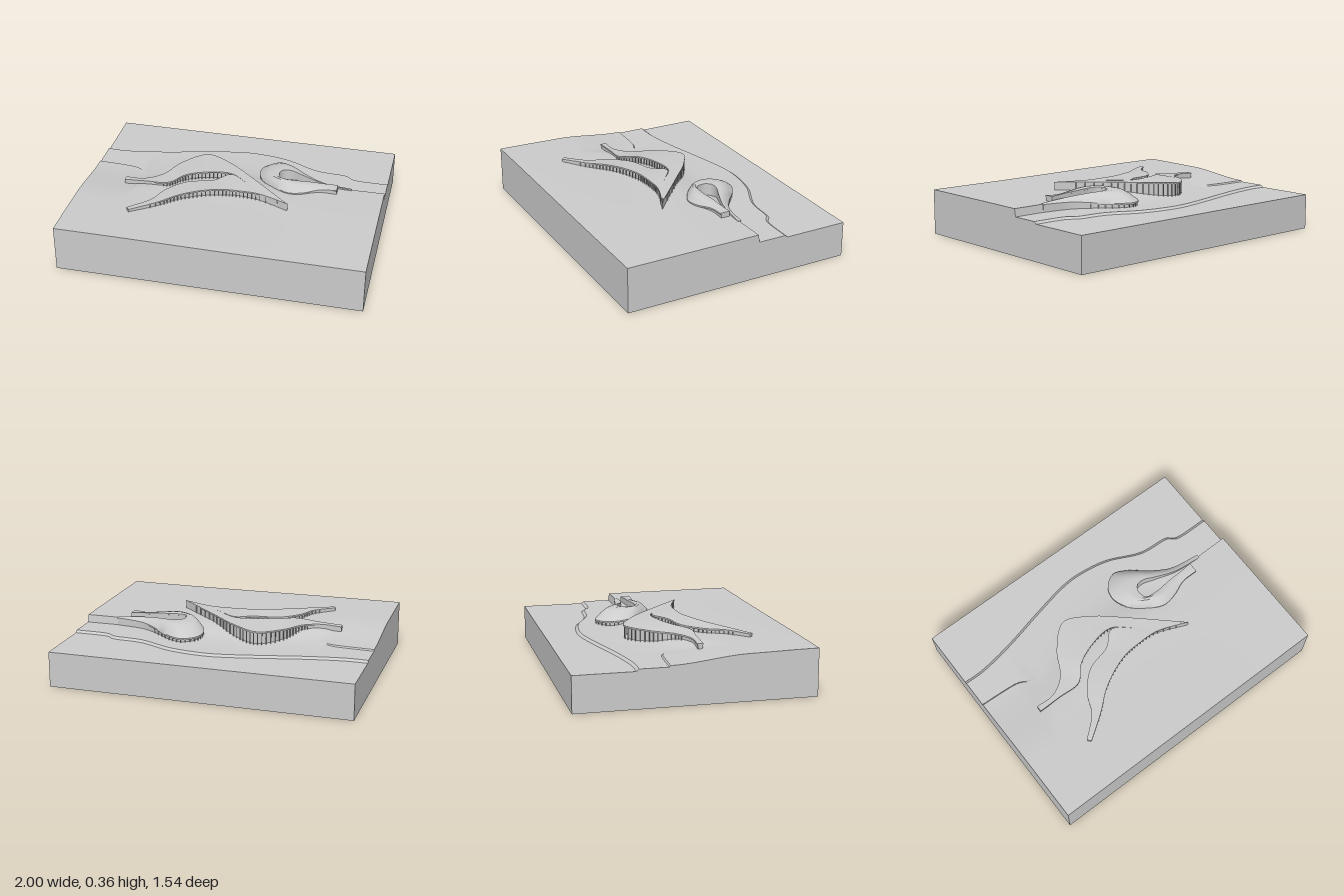
import * as THREE from 'three';
import { toCreasedNormals } from 'three/addons/utils/BufferGeometryUtils.js';

const grey = new THREE.MeshStandardMaterial({ color: 0xcccccc, side: THREE.DoubleSide });
const lerp = THREE.MathUtils.lerp;
const smooth = (t) => THREE.MathUtils.smoothstep(t, 0, 1);

// Skin closed cross-sections (arrays of Vector3) and cap both ends
function loft(sections, crease = 0.5) {
  const n = sections[0].length, pos = [], idx = [];
  sections.forEach((s) => s.forEach((p) => pos.push(p.x, p.y, p.z)));
  for (let i = 0; i < sections.length - 1; i++) {
    for (let j = 0; j < n; j++) {
      const a = i * n + j, b = i * n + (j + 1) % n;
      idx.push(a, a + n, b, b, a + n, b + n);
    }
  }
  [0, sections.length - 1].forEach((s) => {
    const ring = sections[s].map((p) => new THREE.Vector2(p.z, p.y));
    const turn = THREE.ShapeUtils.area(ring);
    THREE.ShapeUtils.triangulateShape(ring.slice(), []).forEach((t) => {
      const same = THREE.ShapeUtils.area(t.map((k) => ring[k])) * turn > 0;
      const o = same === (s === 0) ? t : [t[0], t[2], t[1]];
      idx.push(...o.map((k) => s * n + k));
    });
  });
  const g = new THREE.BufferGeometry();
  g.setAttribute('position', new THREE.Float32BufferAttribute(pos, 3));
  g.setIndex(idx);
  return toCreasedNormals(g, crease);
}

function mesh(name, geometry) {
  const m = new THREE.Mesh(geometry, grey);
  m.name = name;
  return m;
}

const curve = (pts) => new THREE.CatmullRomCurve3(pts.map((p) => new THREE.Vector3(...p)), false, 'centripetal');

// z of a plan line at x, through [x, z] knots with eased spans
function lineAt(knots) {
  const c = new THREE.SplineCurve(knots.map((k) => new THREE.Vector2(...k)));
  const pts = c.getPoints(300);
  return (x) => {
    const i = Math.max(1, pts.findIndex((p) => p.x >= x - 1e-6));
    const a = pts[i - 1], b = pts[i];
    return lerp(a.y, b.y, THREE.MathUtils.clamp((x - a.x) / (b.x - a.x || 1), 0, 1));
  };
}

const roadBack = lineAt([[-1, -0.38], [-0.85, -0.38], [-0.61, -0.42], [-0.32, -0.49], [-0.08, -0.54],
  [0.08, -0.545], [0.28, -0.51], [0.5, -0.415], [0.7, -0.395], [0.78, -0.35], [1, -0.345]]);
const roadFront = lineAt([[-1, -0.17], [-0.75, -0.155], [-0.63, -0.12], [-0.45, -0.2], [-0.2, -0.3],
  [0.1, -0.3], [0.3, -0.26], [0.5, -0.17], [0.65, -0.13], [1, -0.13]]);

// Height of the ground in front of the road
function groundY(x, z) {
  const right = smooth((x - 0.2) / 0.35), left = smooth((-0.6 - x) / 0.15);
  const edge = lerp(0.25 + 0.008 * left, 0.3, right);
  const t = smooth((z - roadFront(x)) / lerp(0.3, 0.5, left));
  const rise = 0.008 * smooth((z - 0.25) / 0.5) * smooth((0.6 - x) / 1.4);
  return lerp(edge, 0.301, t) + rise;
}

// Ground block: front slope, road shelf, kerb step and lower back field
function ground() {
  const sections = [], rows = 26;
  for (let i = 0; i <= 100; i++) {
    const x = -1 + i * 0.02, zf = roadFront(x), zb = roadBack(x);
    const s = [[0, -0.77], [0, 0.77]];
    for (let j = 0; j <= rows; j++) {
      const z = lerp(0.77, zf, j / rows);
      s.push([groundY(x, z), z]);
    }
    s.push([0.249, zf - 0.008], [0.249, zb + 0.018], [0.235, zb], [0.235, -0.77]);
    sections.push(s.map(([y, z]) => new THREE.Vector3(x, y, z)));
  }
  return mesh('ground', loft(sections, 0.4));
}

// Curved roof ribbon over a recessed core, with thin posts below its edges.
// Stations run along the ribbon; 'ridge' lifts the middle line.
function pavilion(name, leftEdge, rightEdge, { ridge = 0, inset = 0.13, posts = 24, from = 0.1, to = 0.95, both = true }) {
  const group = new THREE.Group();
  group.name = name;
  const L = curve(leftEdge), R = curve(rightEdge), roof = [], core = [], N = 72;
  const at = (c, t) => {
    // Paired stations keep the two edges in step
    return c.getPoint(t);
  };
  const low = (p, d) => new THREE.Vector3(p.x, p.y - d, p.z);
  const base = (p) => new THREE.Vector3(p.x, 0.24, p.z);
  for (let i = 0; i <= N; i++) {
    const t = i / N, l = at(L, t), r = at(R, t);
    const lift = ridge * smooth(t / 0.3) * smooth((1 - t) / 0.3);
    const mids = [0.25, 0.5, 0.75].map((k) => {
      const p = r.clone().lerp(l, k);
      p.y += lift * Math.sin(Math.PI * k);
      return p;
    });
    roof.push([low(l, 0.01), low(r, 0.01), r, ...mids, l]);
    const a = l.clone().lerp(r, both ? inset : 0.01), b = r.clone().lerp(l, inset);
    core.push([base(a), base(b), low(b, 0.005), low(a, 0.005)]);
  }
  group.add(mesh('roof', loft(roof, 0.6)), mesh('recessedWall', loft(core)));
  for (let i = 0; i < posts; i++) {
    const t = lerp(from, to, i / (posts - 1)), l = at(L, t), r = at(R, t);
    const feet = [r.clone().lerp(l, 0.04)];
    if (both) feet.push(l.clone().lerp(r, 0.04));
    feet.forEach((p) => {
      const h = p.y - 0.005 - 0.24;
      const post = mesh('post', new THREE.BoxGeometry(0.005, h, 0.005));
      post.position.set(p.x, 0.24 + h / 2, p.z);
      group.add(post);
    });
  }
  return group;
}

export function createModel() {
  const model = new THREE.Group();
  model.name = 'landscapeWithPavilions';
  model.add(ground());

  // Rear crescent
  model.add(pavilion('rearCrescent',
    [[-0.73, 0.312, 0.07], [-0.6, 0.318, 0.07], [-0.49, 0.325, 0], [-0.4, 0.335, -0.16],
      [-0.25, 0.343, -0.29], [-0.08, 0.35, -0.21], [0.12, 0.355, -0.04], [0.4, 0.355, 0.215]],
    [[-0.73, 0.314, 0.11], [-0.58, 0.322, 0.11], [-0.42, 0.335, 0.11], [-0.33, 0.35, 0.02],
      [-0.2, 0.355, -0.04], [-0.03, 0.355, -0.06], [0.13, 0.355, 0.06], [0.41, 0.355, 0.22]],
    { posts: 32, from: 0.25 }));

  // Front crescent
  model.add(pavilion('frontCrescent',
    [[-0.61, 0.325, 0.45], [-0.48, 0.33, 0.33], [-0.42, 0.333, 0.2], [-0.3, 0.338, 0.08],
      [-0.13, 0.345, 0.03], [-0.03, 0.355, -0.05], [0.13, 0.355, 0.06], [0.4, 0.355, 0.215]],
    [[-0.59, 0.325, 0.475], [-0.42, 0.335, 0.355], [-0.32, 0.345, 0.27], [-0.2, 0.352, 0.2],
      [-0.06, 0.355, 0.15], [0.06, 0.355, 0.14], [0.2, 0.355, 0.145], [0.41, 0.355, 0.222]],
    { posts: 32 }));

  // Loop that climbs out of the bank and curls back on itself
  model.add(pavilion('loopPavilion',
    [[0.78, 0.304, -0.115], [0.58, 0.322, -0.13], [0.44, 0.338, -0.175], [0.36, 0.345, -0.205],
      [0.31, 0.348, -0.2], [0.285, 0.35, -0.165], [0.285, 0.35, -0.13], [0.3, 0.35, -0.095],
      [0.34, 0.35, -0.085], [0.41, 0.348, -0.085], [0.5, 0.345, -0.095], [0.6, 0.34, -0.1], [0.69, 0.335, -0.11]],
    [[0.78, 0.3, -0.14], [0.58, 0.295, -0.175], [0.45, 0.285, -0.255], [0.34, 0.28, -0.345],
      [0.24, 0.28, -0.385], [0.155, 0.28, -0.33], [0.13, 0.285, -0.24], [0.17, 0.295, -0.13],
      [0.27, 0.305, -0.04], [0.37, 0.305, 0.012], [0.47, 0.31, 0], [0.58, 0.325, -0.04], [0.69, 0.335, -0.04]],
    { ridge: 0.028, inset: 0.12, posts: 18, from: 0.15, to: 0.6, both: false }));

  return model;
}
